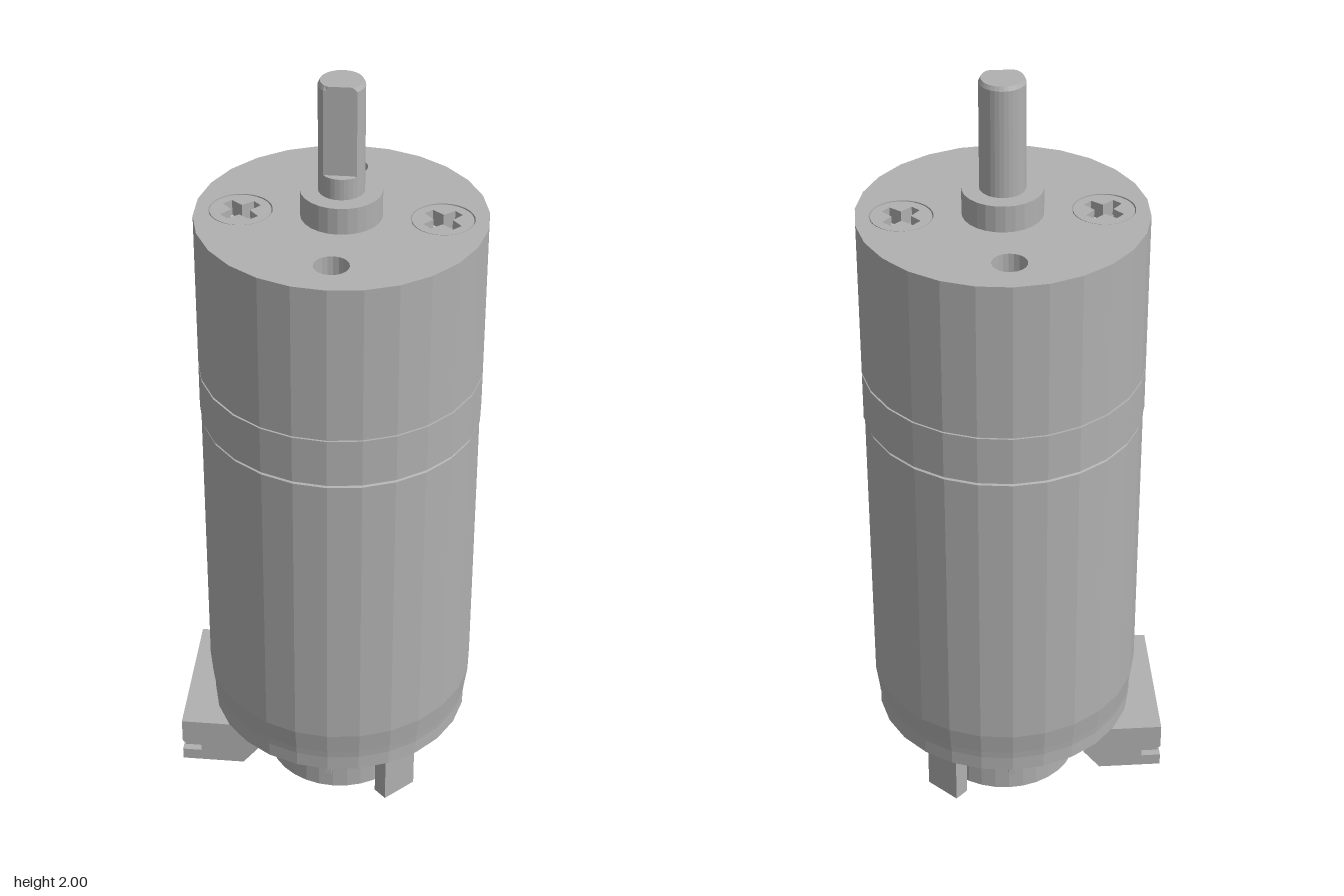
import * as THREE from 'three';

const CX = 0.027; // motor axis
const metal = new THREE.MeshStandardMaterial({ color: 0xb0b0b0, flatShading: true });
metal.name = 'grey metal';

export function createModel() {
  const model = new THREE.Group();
  model.name = 'gearMotor';

  const add = (name, geometry, x = 0, y = 0, z = 0, parent = model) => {
    const mesh = new THREE.Mesh(geometry, metal);
    mesh.name = name;
    mesh.position.set(x, y, z);
    parent.add(mesh);
    return mesh;
  };
  const lathe = (pts, sides = 26) =>
    new THREE.LatheGeometry(pts.map(([r, y]) => new THREE.Vector2(r, y)), sides);
  const box = (name, w, h, d, x, y, z, parent) =>
    add(name, new THREE.BoxGeometry(w, h, d), x, y, z, parent);
  const ring = (x, y, r, n) => Array.from({ length: n }, (_, i) => {
    const a = Math.PI / 2 + (i / n) * Math.PI * 2;
    return new THREE.Vector2(x + r * Math.cos(a), y + r * Math.sin(a));
  });
  // Flat shape extruded upwards from y = 0
  const slab = (outline, holes, depth) => {
    const shape = new THREE.Shape(outline);
    shape.holes = holes.map((h) => new THREE.Path(h));
    return new THREE.ExtrudeGeometry(shape, { depth, bevelEnabled: false }).rotateX(-Math.PI / 2);
  };

  // Motor can with a tapered lower end
  add('motorCan', lathe([[0, 0.25], [0.335, 0.25], [0.337, 0.27], [0.345, 0.33],
    [0.345, 1.113], [0.339, 1.115], [0.339, 1.125], [0, 1.125]]), CX);
  add('endPlate', lathe([[0, 0.21], [0.334, 0.21], [0.334, 0.251], [0, 0.251]]), CX);

  // Gearbox rings separated by fine grooves
  add('gearboxBase', lathe([[0, 1.122], [0.348, 1.122], [0.348, 1.247], [0.343, 1.247],
    [0.343, 1.253], [0, 1.253]]), CX);
  add('gearboxRing', lathe([[0, 1.253], [0.348, 1.253], [0.348, 1.53], [0, 1.53]]), CX);

  // Face plate with two mounting holes and two screw seats
  const screwX = 0.238;
  add('facePlate', slab(ring(0, 0, 0.348, 26), [
    ring(0, 0.238, 0.042, 20), ring(0, -0.238, 0.042, 20),
    ring(screwX, 0, 0.076, 28), ring(-screwX, 0, 0.076, 28),
  ], 0.125), CX, 1.53);

  // Cross-head screws
  const a = 0.05, w = 0.013, c = 0.016;
  const cross = [];
  for (let i = 0; i < 4; i++) {
    const t = Math.PI / 4 + (i * Math.PI) / 2;
    for (const [x, y] of [[c, -c], [a, -w], [a, w]]) {
      cross.push(new THREE.Vector2(x * Math.cos(t) - y * Math.sin(t), x * Math.sin(t) + y * Math.cos(t)));
    }
  }
  for (const side of [-1, 1]) {
    const screw = new THREE.Group();
    screw.name = 'screw';
    screw.position.set(CX + side * screwX, 1.655, 0);
    add('screwHead', slab(ring(0, 0, 0.073, 28), [cross], 0.04), 0, -0.041, 0, screw);
    add('screwRecess', lathe([[0.073, -0.04], [0.05, -0.04], [0, -0.075]], 20), 0, 0, 0, screw);
    model.add(screw);
  }

  // Output boss and D-cut shaft
  add('shaftBoss', lathe([[0, 1.65], [0.097, 1.65], [0.097, 1.722], [0, 1.722]], 26), CX);
  const shaft = lathe([[0.055, 1.7], [0.055, 1.775], [0.055, 1.777], [0.055, 1.99],
    [0.05, 2], [0, 2]], 32);
  const p = shaft.attributes.position;
  for (let i = 0; i < p.count; i++) {
    if (p.getY(i) > 1.776) p.setZ(i, Math.min(p.getZ(i), 0.039));
  }
  shaft.computeVertexNormals();
  add('outputShaft', shaft, CX);

  // Rear shaft, bearing and encoder wheel
  add('rearBearing', lathe([[0, 0.168], [0.043, 0.168], [0.043, 0.22], [0, 0.22]], 20), CX);
  add('rearShaft', lathe([[0, 0.004], [0.026, 0.004], [0.026, 0.2], [0, 0.2]], 16), CX);
  add('encoderWheel', lathe([[0, 0.016], [0.19, 0.016], [0.19, 0.14], [0, 0.14]], 32), CX);

  for (const side of [-1, 1]) {
    // Upright sensor facing the wheel
    const sensor = box('sensor', 0.1, 0.198, 0.042, 0.19, 0.113, side * 0.172);
    sensor.rotation.y = side * Math.PI / 4;

    // Looped solder terminal
    const terminal = new THREE.Group();
    terminal.name = 'terminal';
    terminal.position.set(CX, 0, side * 0.277);
    for (const s of [-1, 1]) box('terminalLeg', 0.016, 0.05, 0.011, 0, 0.19, s * 0.0195, terminal);
    box('terminalEnd', 0.016, 0.011, 0.05, 0, 0.17, 0, terminal);
    model.add(terminal);
  }

  // Side-entry connector: notched cheeks, roof, rear wall and pins
  const connector = new THREE.Group();
  connector.name = 'connector';
  const cheek = new THREE.Shape([[-0.375, 0.209], [-0.375, 0.142], [-0.367, 0.134], [-0.367, 0.13],
    [-0.325, 0.13], [-0.325, 0.112], [-0.375, 0.112], [-0.375, 0.08], [-0.213, 0.08],
    [-0.17, 0.135], [-0.17, 0.209]].map(([x, y]) => new THREE.Vector2(x, y)));
  for (const z of [-0.195, 0.162]) {
    add('connectorCheek', new THREE.ExtrudeGeometry(cheek, { depth: 0.028, bevelEnabled: false }),
      0, 0, z, connector);
  }
  box('connectorRoof', 0.205, 0.025, 0.36, -0.2725, 0.1965, -0.0025, connector);
  box('connectorRearWall', 0.03, 0.11, 0.36, -0.228, 0.14, -0.0025, connector);
  box('connectorFloor', 0.05, 0.02, 0.36, -0.24, 0.091, -0.0025, connector);
  for (let i = 0; i < 6; i++) {
    const z = -0.1275 + i * 0.05;
    box('connectorPin', 0.15, 0.018, 0.018, -0.265, 0.135, z, connector);
    box('connectorPinLeg', 0.018, 0.075, 0.018, -0.185, 0.163, z, connector);
  }
  model.add(connector);

  return model;
}
